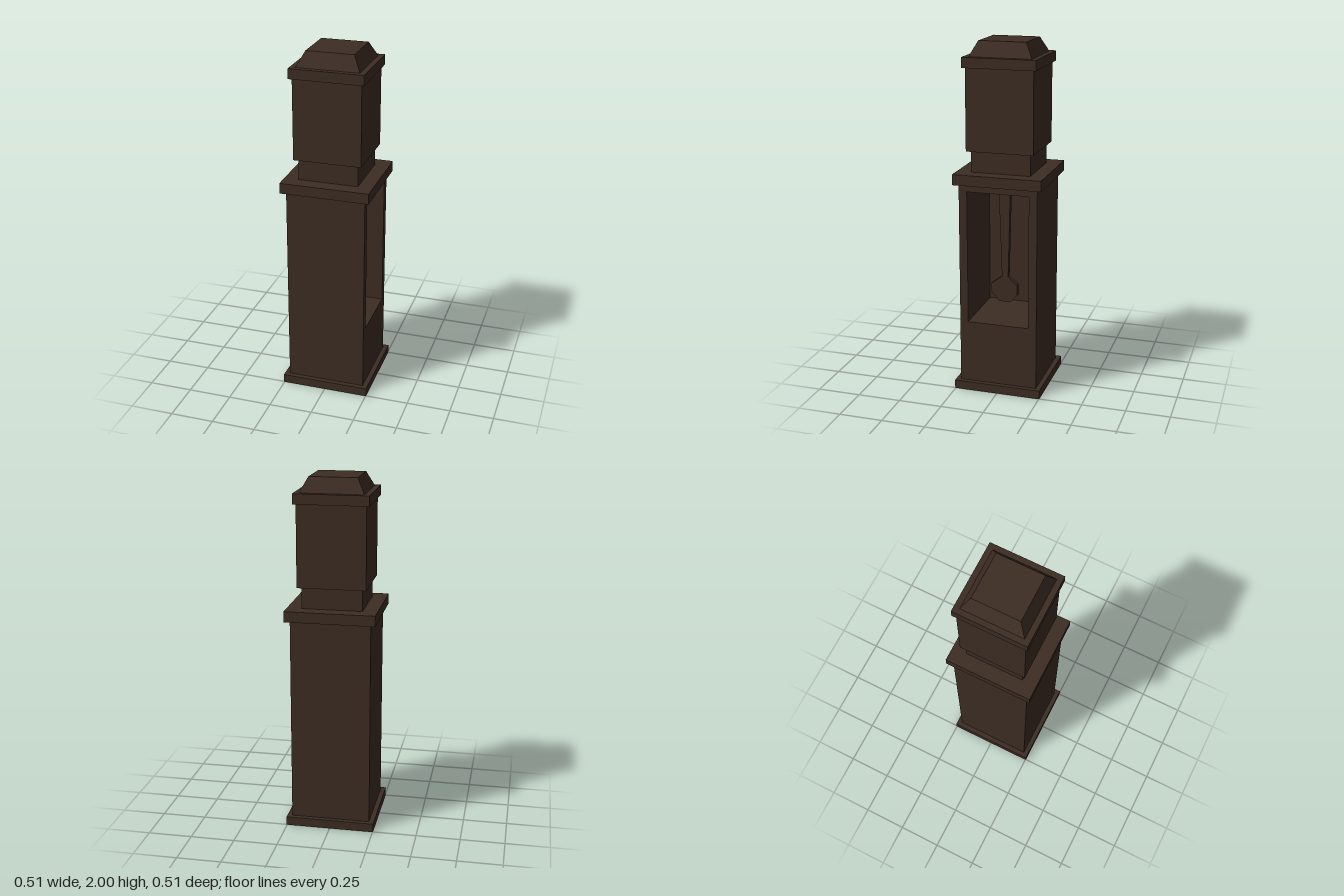
import * as THREE from 'three';

export function createModel() {
  const group = new THREE.Group();
  group.name = 'longcaseClock';
  const wood = new THREE.MeshStandardMaterial({ color: 0x3d2d24, flatShading: true });
  wood.name = 'dark wood';

  const add = (name, geometry) => {
    const mesh = new THREE.Mesh(geometry, wood);
    mesh.name = name;
    group.add(mesh);
    return mesh;
  };
  // Square block given its half width, bottom and top
  const block = (name, half, y0, y1) =>
    add(name, new THREE.BoxGeometry(half * 2, y1 - y0, half * 2).translate(0, (y0 + y1) / 2, 0));
  // Profile of (-z, y) points extruded along x
  const extrudeX = (shape, x0, x1) =>
    new THREE.ExtrudeGeometry(shape, { depth: x1 - x0, bevelEnabled: false })
      .rotateY(Math.PI / 2).translate(x0, 0, 0);
  const rect = (Type, half, y0, y1) => new Type([
    [-half, y0], [half, y0], [half, y1], [-half, y1],
  ].map(([x, y]) => new THREE.Vector2(x, y)));

  // Stacked case
  block('base', 0.253, 0, 0.05);
  block('trunkCornice', 0.253, 1.22, 1.28);
  block('neck', 0.17, 1.28, 1.4);
  block('hood', 0.192, 1.4, 1.86);
  block('hoodCornice', 0.208, 1.86, 1.917);

  // Trunk with a deep opening on the +x side, closed at the back
  const trunk = rect(THREE.Shape, 0.225, 0.05, 1.22);
  trunk.holes.push(rect(THREE.Path, 0.178, 0.412, 1.18));
  add('trunk', extrudeX(trunk, -0.18, 0.225));
  add('trunkBack', new THREE.BoxGeometry(0.045, 1.17, 0.45).translate(-0.2025, 0.635, 0));

  // Sloped cap: a four-sided frustum
  const r = Math.SQRT2;
  add('cap', new THREE.CylinderGeometry(0.134 * r, 0.177 * r, 0.083, 4)
    .rotateY(Math.PI / 4).translate(0, 1.9585, 0));

  // Pendulum: tapered rod ending in an eight-sided bob
  const pendulum = new THREE.Shape([
    [0.026, 1.18], [-0.042, 1.18], [-0.024, 0.65], [-0.087, 0.603], [-0.087, 0.55], [-0.04, 0.497],
    [0.029, 0.497], [0.066, 0.54], [0.066, 0.603], [0.013, 0.65],
  ].map(([x, y]) => new THREE.Vector2(x, y)));
  add('pendulum', extrudeX(pendulum, 0.04, 0.07));

  return group;
}
